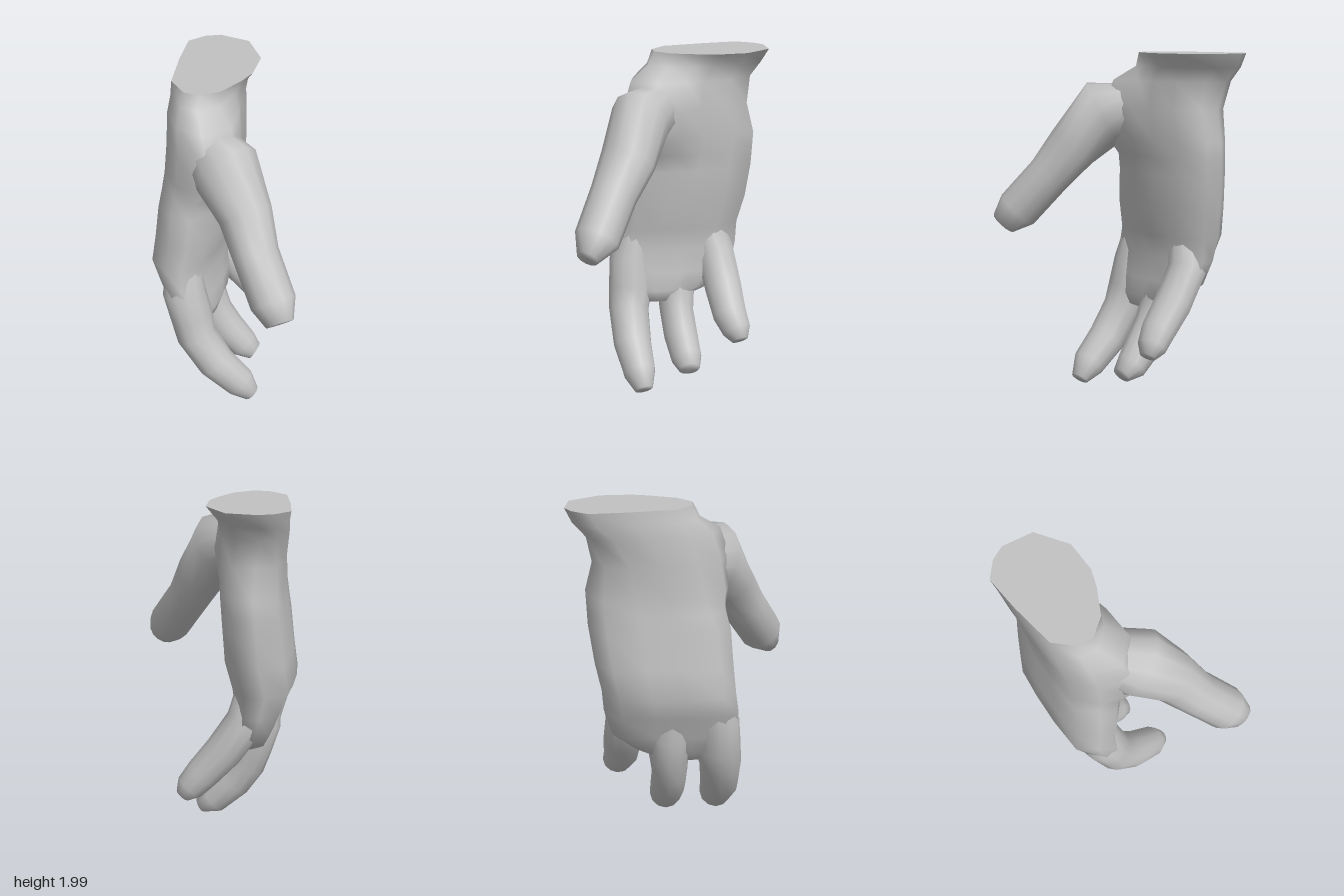
import * as THREE from 'three';

const skin = new THREE.MeshStandardMaterial({ color: 0xc2c2c2 });
skin.name = 'plain grey';

// Skin a list of equal-length rings and close the last one with a fan.
function loft(rings) {
  const n = rings[0].length, pos = [], idx = [];
  rings.forEach(r => r.forEach(p => pos.push(p.x, p.y, p.z)));
  for (let i = 0; i < rings.length - 1; i++) {
    for (let j = 0; j < n; j++) {
      const a = i * n + j, b = i * n + (j + 1) % n;
      idx.push(a, b, a + n, b, b + n, a + n);
    }
  }
  const last = rings[rings.length - 1], base = (rings.length - 1) * n;
  const c = last.reduce((s, p) => s.add(p), new THREE.Vector3()).divideScalar(n);
  pos.push(c.x, c.y, c.z);
  for (let j = 0; j < n; j++) idx.push(rings.length * n, base + j, base + (j + 1) % n);
  const g = new THREE.BufferGeometry();
  g.setAttribute('position', new THREE.Float32BufferAttribute(pos, 3));
  g.setIndex(idx);
  g.computeVertexNormals();
  return g;
}

// Finger from stations [x, y, z, thickness radius, width radius].
function finger(name, stations, sides = 12) {
  const pts = stations.map(s => new THREE.Vector3(s[0], s[1], s[2]));
  const rings = stations.map((s, i) => {
    const t = pts[Math.min(i + 1, pts.length - 1)].clone().sub(pts[Math.max(i - 1, 0)]).normalize();
    const v = new THREE.Vector3(0, 0, 1).addScaledVector(t, -t.z).normalize();
    const u = v.clone().cross(t);
    return Array.from({ length: sides }, (_, j) => {
      const a = (j / sides) * Math.PI * 2;
      return pts[i].clone().addScaledVector(u, Math.cos(a) * s[3]).addScaledVector(v, Math.sin(a) * s[4]);
    });
  });
  const m = new THREE.Mesh(loft(rings), skin);
  m.name = name;
  return m;
}

// Horizontal outlines in x, z, normalised to a -1..1 box
const wristOutline = [[-.03, -.27], [-.06, -.17], [-.13, -.02], [-.23, .06], [-.32, .055], [-.43, -.04],
  [-.48, -.3], [-.505, -.51], [-.43, -.6], [-.35, -.64], [-.17, -.62], [-.04, -.45]]
  .map(([x, z]) => [(x + .2675) / .2375, (z + .29) / .35]);
const palmOutline = [[1, -.1], [.95, .3], [.75, .75], [.3, 1], [-.3, 1], [-.9, .8],
  [-1, .25], [-1, -.25], [-.93, -.73], [-.25, -.98], [.4, -1], [.9, -.6]];

// Outward swell of the first outline points where the thumb grows out
const thumbSwell = [[.01, 0], [.06, 0], [.13, .05], [.09, .1], [.01, .05]];

// y, x min, x max, z min, z max, blend from wrist to palm outline, thumb swell
const sections = [
  [2, -.505, -.03, -.64, .06, 0, 0],
  [1.92, -.49, -.09, -.6, .07, .1, .3],
  [1.84, -.48, -.09, -.53, .12, .3, 1],
  [1.68, -.45, -.08, -.5, .16, .7, 1.15],
  [1.5, -.44, -.09, -.54, .2, 1, .8],
  [1.4, -.45, -.095, -.535, .23, 1, .2],
  [1.3, -.46, -.1, -.53, .27, 1, 0],
  [1.1, -.48, -.11, -.5, .285, 1, 0],
  [.93, -.5, -.15, -.46, .3, 1, 0],
  [.8, -.44, -.17, -.45, .32, 1, 0],
  [.66, -.39, -.15, -.41, .31, 1, 0],
  [.55, -.34, -.14, -.27, .26, 1, 0],
  [.48, -.28, -.16, -.08, .14, 1, 0],
];

export function createModel() {
  const hand = new THREE.Group();
  hand.name = 'hand';

  // Palm and wrist
  const rings = sections.map(([y, x0, x1, z0, z1, k, swell]) => wristOutline.map((w, j) => {
    const x = THREE.MathUtils.lerp(w[0], palmOutline[j][0], k);
    const z = THREE.MathUtils.lerp(w[1], palmOutline[j][1], k);
    const [sx, sz] = thumbSwell[j] || [0, 0];
    return new THREE.Vector3((x0 + x1) / 2 + x * (x1 - x0) / 2 + sx * swell, y,
      (z0 + z1) / 2 + z * (z1 - z0) / 2 + sz * swell);
  }));
  const palm = new THREE.Mesh(loft(rings), skin);
  palm.name = 'palm';

  // Flat wrist end
  const outline = new THREE.Shape(rings[0].map(p => new THREE.Vector2(p.x, -p.z)));
  const cut = new THREE.Mesh(new THREE.ShapeGeometry(outline).rotateX(-Math.PI / 2).translate(0, 2, 0), skin);
  cut.name = 'wristCap';

  // Digits start inside the palm and swell out of it
  hand.add(palm, cut,
    finger('thumb', [
      [-.22, 1.68, 0, .14, .13], [-.03, 1.64, .19, .21, .18],
      [.12, 1.44, .295, .15, .16], [.215, 1.27, .4, .13, .135], [.36, 1.06, .525, .13, .13],
      [.42, .975, .59, .085, .065]]),
    finger('indexFinger', [
      [-.31, .95, .17, .1, .08], [-.295, .73, .205, .13, .125], [-.25, .56, .21, .125, .135],
      [-.215, .43, .23, .12, .122], [-.09, .25, .235, .115, .115], [.06, .12, .225, .1, .097],
      [.135, .04, .215, .05, .055]]),
    finger('middleFinger', [
      [-.31, .9, -.05, .1, .1], [-.295, .65, -.07, .125, .125], [-.25, .5, -.075, .12, .115],
      [-.21, .39, -.07, .12, .105], [-.13, .27, -.075, .115, .105], [-.02, .155, -.085, .095, .095],
      [.055, .11, -.085, .05, .065]]),
    finger('littleFinger', [
      [-.3, .98, -.26, .1, .1], [-.25, .75, -.32, .115, .12], [-.12, .56, -.34, .11, .115],
      [0, .42, -.35, .1, .105], [.07, .34, -.375, .085, .088], [.11, .29, -.385, .045, .05]]));
  return hand;
}
